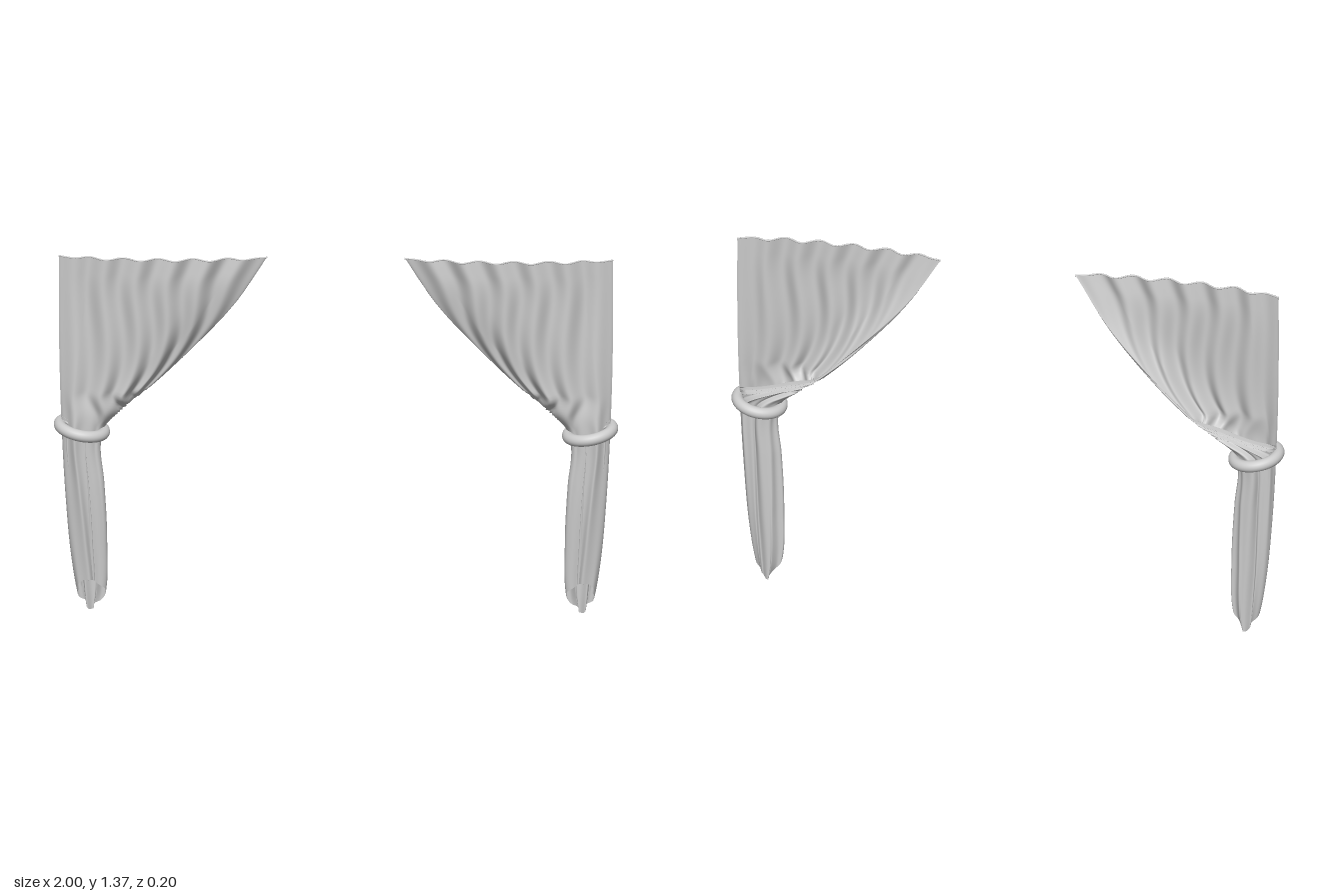
import * as THREE from 'three';

const TOP = 1.365;
const FOLDS = 6;
const { smoothstep, clamp, lerp } = THREE.MathUtils;

// Smooth profile through [y, value] pairs
function profile(points) {
  const spline = new THREE.CubicInterpolant(points.map(p => p[0]), points.map(p => p[1]), 1, [0]);
  return y => spline.evaluate(clamp(y, 0, TOP))[0];
}

// Distances of the outer and inner silhouettes from the middle of the window
const outerX = profile([[0, 0.893], [0.05, 0.91], [0.2, 0.936], [0.45, 0.958], [0.72, 0.972], [1, 0.98], [TOP, 0.981]]);
const innerX = profile([[0, 0.84], [0.06, 0.818], [0.28, 0.81], [0.5, 0.82], [0.65, 0.832], [0.715, 0.815],
  [0.781, 0.742], [0.853, 0.656], [1.008, 0.503], [1.173, 0.363], [TOP, 0.243]]);

// Crowds the pleats towards the inner edge
const crowd = (u, k) => 1 - Math.pow(1 - u, k);
const softSin = (a, power) => Math.sign(Math.sin(a)) * Math.pow(Math.abs(Math.sin(a)), power);

// Point on the cloth: u runs from outer to inner edge, t from top to hem.
// Close to the ring and below, the cloth wraps round into a flattened roll.
function clothPoint(u, t) {
  const tail = Math.PI * 2.6 * crowd(u, 2);
  const hem = Math.max(0, 0.07 + 0.065 * softSin(tail, 0.6) + 0.008 * Math.sin(31 * u));
  const y = TOP + (hem - TOP) * t;
  const gather = 1 - smoothstep(y, 0.7, 1.3);
  const wrap = 1 - smoothstep(y, 0.68, 0.85);
  const low = 1 - smoothstep(y, 0, 0.5);
  const w = crowd(u, 1 + 1.4 * gather - 0.4 * wrap) * (1 + 0.08 * gather + 1.52 * wrap);
  const m = w % 2;
  const across = m < 1 ? m : 2 - m;

  // lens-shaped roll, layers further in lie closer to the middle
  const layer = 1 - 0.45 * smoothstep(w, 1.7, 2.3);
  const depth = 0.036 + 0.002 * wrap - 0.009 * low;
  const taper = Math.min(1, Math.abs(Math.sin(Math.PI * w)) * 2.2);

  // broad pleats, finer creases in the roll, inner edge curling to the back
  const pleat = Math.cos(2 * Math.PI * (FOLDS * u - 0.35)) * (0.014 - 0.005 * wrap);
  const crease = 0.004 * wrap * Math.sin(2 * Math.PI * 13 * u + 4 * y);
  const curl = 0.034 * smoothstep(across, 0.7, 1) * (1 - smoothstep(y, 0.9, TOP)) * (1 - wrap);
  const z = softSin(Math.PI * w, 0.6) * depth * layer + taper * (pleat + crease) - curl - 0.008 * low;

  const shift = wrap * taper * 0.005 * Math.sin(2 * Math.PI * 8 * u + 5 * y);
  return new THREE.Vector3(lerp(outerX(y), innerX(y), across) + shift, y, z);
}

function clothGeometry(side) {
  const cols = 200, rows = 110, positions = [], index = [];
  for (let j = 0; j <= rows; j++) {
    for (let i = 0; i <= cols; i++) {
      const p = clothPoint(i / cols, j / rows);
      positions.push(side * p.x, p.y, p.z);
    }
  }
  for (let j = 0; j < rows; j++) {
    for (let i = 0; i < cols; i++) {
      const a = j * (cols + 1) + i, b = a + 1, c = a + cols + 1, d = c + 1;
      if (side > 0) index.push(a, b, c, b, d, c);
      else index.push(a, c, b, b, c, d);
    }
  }
  const geometry = new THREE.BufferGeometry();
  geometry.setAttribute('position', new THREE.Float32BufferAttribute(positions, 3));
  geometry.setIndex(index);
  geometry.computeVertexNormals();
  return geometry;
}

function createCurtain(side, name) {
  const group = new THREE.Group();
  group.name = name;
  const clothMaterial = new THREE.MeshStandardMaterial({ color: 0xcccccc, side: THREE.DoubleSide });
  const solid = new THREE.MeshStandardMaterial({ color: 0xcccccc });

  const cloth = new THREE.Mesh(clothGeometry(side), clothMaterial);
  cloth.name = 'drape';

  // Rolled top edge following the pleats
  const edge = [];
  for (let i = 0; i <= 60; i++) {
    const p = clothPoint(i / 60, 0);
    edge.push(new THREE.Vector3(side * p.x, p.y - 0.003, p.z));
  }
  const hem = new THREE.Mesh(new THREE.TubeGeometry(new THREE.CatmullRomCurve3(edge), 160, 0.003, 8), solid);
  hem.name = 'topHem';

  // Tilted ring holding the cloth
  const ring = new THREE.Mesh(new THREE.TorusGeometry(0.08, 0.021, 20, 64).rotateX(Math.PI / 2), solid);
  ring.name = 'tiebackRing';
  ring.position.set(side * 0.9, 0.706, 0);
  ring.rotation.z = side * 0.18;

  group.add(cloth, hem, ring);
  return group;
}

export function createModel() {
  const model = new THREE.Group();
  model.name = 'curtains';
  model.add(createCurtain(1, 'leftCurtain'), createCurtain(-1, 'rightCurtain'));
  return model;
}
